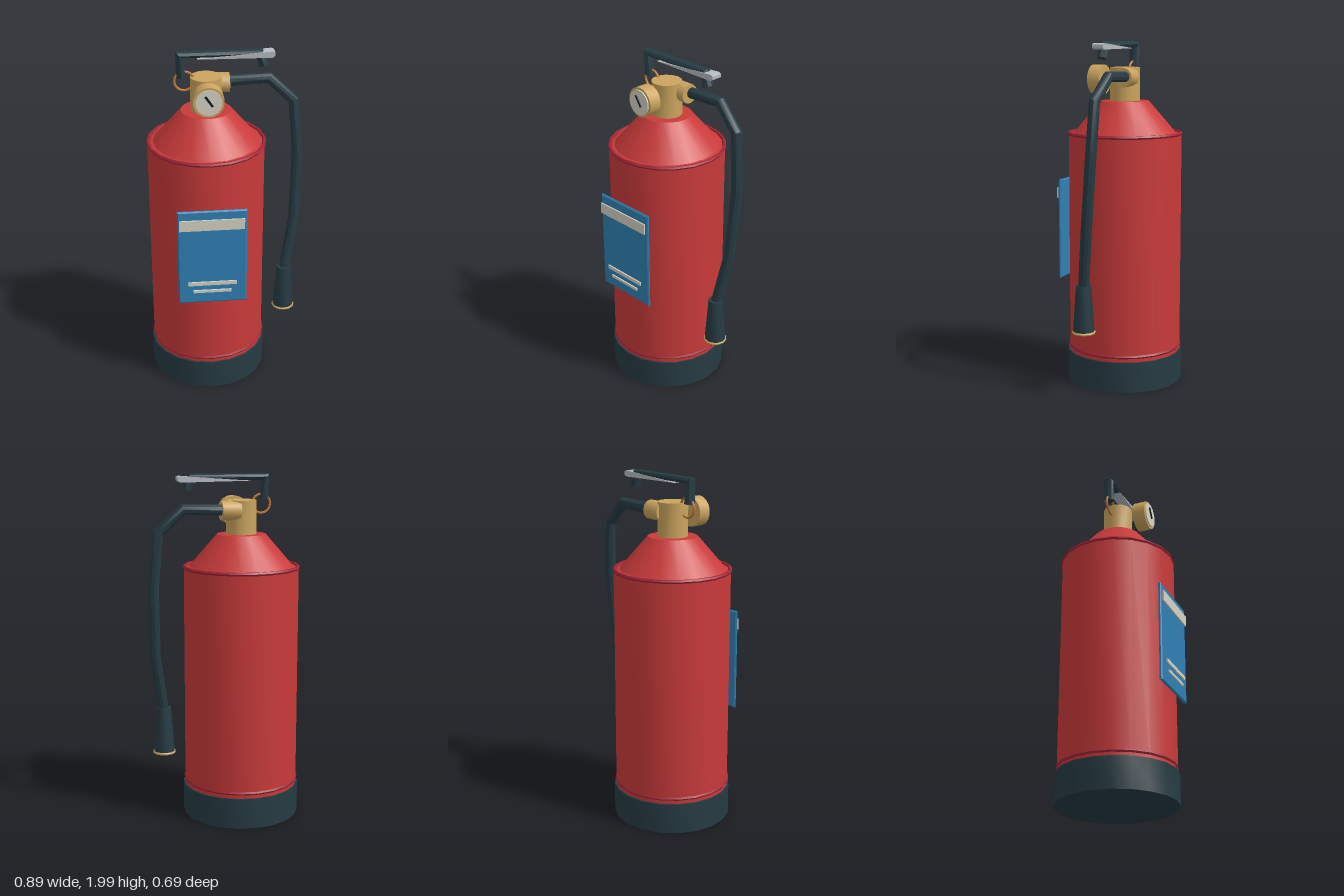
import * as THREE from 'three';
import { toCreasedNormals } from 'three/addons/utils/BufferGeometryUtils.js';

const mat = (name, color, side = THREE.FrontSide) => {
  const m = new THREE.MeshStandardMaterial({ color, side });
  m.name = name;
  return m;
};

// Straight-sectioned path whose tube rings sit exactly on the bends
class Polyline extends THREE.Curve {
  constructor(points) {
    super();
    this.points = points.map((p) => new THREE.Vector3(...p));
  }
  getPointAt(u) {
    const n = this.points.length - 1;
    const i = Math.min(Math.floor(u * n + 1e-6), n - 1);
    return this.points[i].clone().lerp(this.points[i + 1], u * n - i);
  }
  getPoint(t) { return this.getPointAt(t); }
  getTangentAt(u) {
    const n = this.points.length - 1, i = Math.round(u * n), t = new THREE.Vector3();
    if (i > 0) t.add(this.points[i].clone().sub(this.points[i - 1]).normalize());
    if (i < n) t.add(this.points[i + 1].clone().sub(this.points[i]).normalize());
    return t.normalize();
  }
}

export function createModel() {
  const red = mat('red paint', 0xc93a3a);
  const rimRed = mat('dark red rim', 0xa32536);
  const dark = mat('dark rubber', 0x263b43, THREE.DoubleSide);
  const brass = mat('brass', 0xcba45e);
  const silver = mat('silver', 0xb4babf);
  const blue = mat('label blue', 0x2f80b4);
  const cream = mat('cream', 0xd6d2c4);
  const copper = mat('copper', 0xc07838);
  const black = mat('needle black', 0x14191c);

  const model = new THREE.Group();
  const CX = -0.105, CZ = -0.007;

  const add = (name, geometry, material, x = 0, y = 0, z = 0) => {
    const mesh = new THREE.Mesh(toCreasedNormals(geometry, 0.6), material);
    mesh.name = name;
    mesh.position.set(x, y, z);
    model.add(mesh);
    return mesh;
  };
  const lathe = (profile, sides) =>
    new THREE.LatheGeometry(profile.map((p) => new THREE.Vector2(...p)), sides);
  const tube = (points, radius, sides) =>
    new THREE.TubeGeometry(new Polyline(points), points.length - 1, radius, sides);

  // Tank, foot and rims
  add('tank', lathe([[0, 0.16], [0.33, 0.16], [0.33, 1.462], [0.298, 1.47],
    [0.14, 1.653], [0, 1.653]], 20), red, CX, 0, CZ);
  add('foot', lathe([[0, 0], [0.34, 0], [0.34, 0.178], [0, 0.178]], 20), dark, CX, 0, CZ);
  for (const [name, y] of [['upperRim', 1.466], ['lowerRim', 0.208]]) {
    add(name, new THREE.TorusGeometry(0.326, 0.011, 6, 20).rotateX(Math.PI / 2), rimRed, CX, y, CZ);
  }

  // Valve
  add('valveNeck', new THREE.CylinderGeometry(0.086, 0.086, 0.2, 14), brass, CX, 1.745, CZ);
  add('valveOutlet', new THREE.CylinderGeometry(0.055, 0.055, 0.11, 12).rotateZ(Math.PI / 2),
    brass, -0.026, 1.79, -0.052);

  // Pressure gauge
  const disc = (r, depth) => new THREE.CylinderGeometry(r, r, depth, 18).rotateX(Math.PI / 2);
  add('gaugeCase', disc(0.085, 0.075), brass, CX, 1.773, 0.158);
  add('gaugeDial', disc(0.072, 0.008), cream, CX, 1.773, 0.199);
  add('gaugeNeedle', new THREE.BoxGeometry(0.012, 0.07, 0.006), black, CX, 1.783, 0.206)
    .rotation.z = 0.6;

  // Hose, nozzle and nozzle ring
  add('hose', tube([[0.02, 1.795, -0.062], [0.25, 1.803, -0.062], [0.388, 1.675, -0.044],
    [0.416, 1.36, -0.032], [0.403, 0.96, 0.002], [0.35, 0.64, 0.045]], 0.031, 10), dark);
  add('nozzle', lathe([[0.028, 0.56], [0.052, 0.385], [0.062, 0.378], [0.042, 0.648],
    [0, 0.652]], 12), dark, 0.347, 0, 0.047);
  add('nozzleRing', new THREE.TorusGeometry(0.06, 0.008, 6, 12).rotateX(Math.PI / 2),
    brass, 0.347, 0.379, 0.047);

  // Carrying handle with capped ends, and squeeze lever
  const grip = [[-0.238, 1.845, 0], [-0.247, 1.973, 0], [0.188, 1.972, 0], [0.212, 1.9, 0]];
  const handle = add('carryHandle', tube(grip, 0.027, 8), dark, 0, 0, CZ);
  handle.scale.z = 1.15;
  for (const [end, next] of [[grip[0], grip[1]], [grip[3], grip[2]]]) {
    const cap = add('handleCap', new THREE.CircleGeometry(0.027, 8), dark, end[0], end[1], CZ);
    cap.lookAt(2 * end[0] - next[0], 2 * end[1] - next[1], CZ);
  }
  const leverShape = new THREE.Shape([[-0.15, 1.952], [0.255, 1.948], [0.27, 1.958],
    [0.27, 1.976], [0.255, 1.983], [0.14, 1.975]].map((p) => new THREE.Vector2(...p)));
  add('squeezeLever', new THREE.ExtrudeGeometry(leverShape, { depth: 0.064, bevelEnabled: false }),
    silver, 0, 0, CZ - 0.032);

  // Safety pin ring
  add('pinRing', new THREE.TorusGeometry(0.054, 0.007, 6, 16), copper, -0.222, 1.822, CZ);

  // Label plate with chamfered edges and printed bars
  const w = 0.186, h = 0.287;
  const plate = new THREE.Shape([[-w, -h], [w, -h], [w, h], [-w, h]]
    .map((p) => new THREE.Vector2(...p)));
  add('labelPlate', new THREE.ExtrudeGeometry(plate, { depth: 0.006, bevelEnabled: true,
    bevelThickness: 0.006, bevelSize: 0.007, bevelSegments: 1 }), blue, -0.103, 0.903, 0.322);
  for (const [name, width, height, y] of [['labelHeader', 0.362, 0.064, 1.116],
    ['labelLineLong', 0.275, 0.022, 0.741], ['labelLineShort', 0.215, 0.016, 0.69]]) {
    add(name, new THREE.BoxGeometry(width, height, 0.008), cream, -0.105, y, 0.343);
  }

  return model;
}
